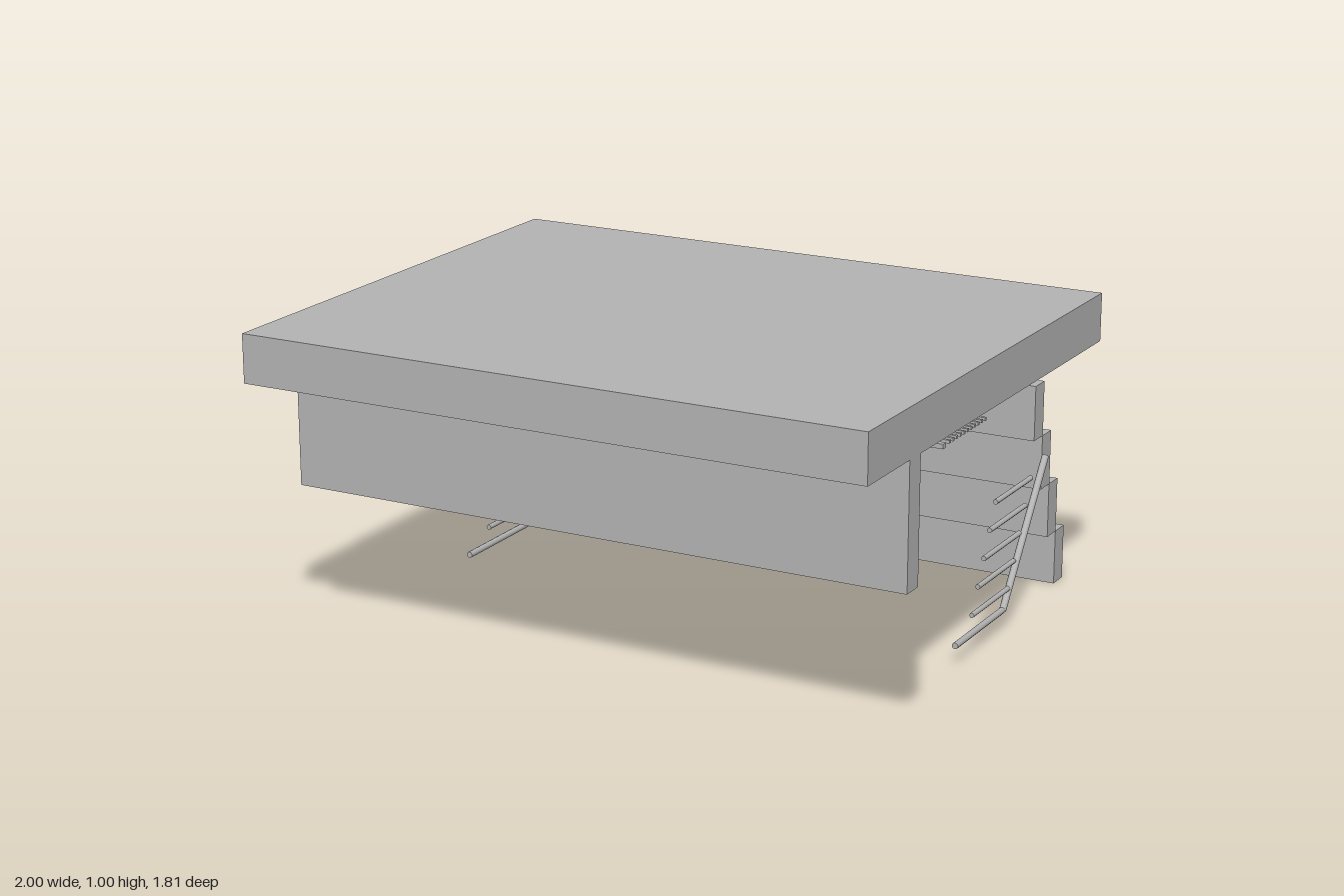
import * as THREE from 'three';

export function createModel() {
  const model = new THREE.Group();
  model.name = 'raisedPlatform';
  const grey = new THREE.MeshStandardMaterial({ color: 0xb2b2b2 });
  grey.name = 'plain grey';

  // Box given by its limits on each axis
  function box(name, x0, x1, y0, y1, z0, z1, parent = model) {
    const mesh = new THREE.Mesh(new THREE.BoxGeometry(x1 - x0, y1 - y0, z1 - z0), grey);
    mesh.position.set((x0 + x1) / 2, (y0 + y1) / 2, (z0 + z1) / 2);
    mesh.name = name;
    parent.add(mesh);
    return mesh;
  }

  // Round bar between two points
  function bar(name, a, b, radius, parent) {
    const mesh = new THREE.Mesh(new THREE.CylinderGeometry(radius, radius, a.distanceTo(b), 10), grey);
    mesh.position.copy(a).add(b).multiplyScalar(0.5);
    mesh.quaternion.setFromUnitVectors(new THREE.Vector3(0, 1, 0), b.clone().sub(a).normalize());
    mesh.name = name;
    parent.add(mesh);
  }

  // Main slab, front wall and the thickened underside
  box('topSlab', -1, 1, 0.85, 1, -0.71, 0.905);
  box('frontWall', -1, 1, 0.467, 0.85, 0.575, 0.645);
  box('undersideBlock', -0.62, 0.62, 0.775, 0.85, -0.71, 0.52);
  box('wallLedge', -0.48, 0.48, 0.71, 0.73, 0.523, 0.575);

  // Stepped boards down the back
  for (let i = 0; i < 4; i++) {
    const z = -0.905 + i * 0.066;
    box('backBoard', -0.825, 0.825, i * 0.175, (i + 1) * 0.175, z, z + 0.068);
  }

  // Rails below the block, with thin plates between them
  for (const x of [-0.54, 0, 0.54]) box('underRail', x - 0.02, x + 0.02, 0.73, 0.775, -0.675, 0.455);
  for (const s of [-1, 1]) {
    box('underPlate', s * 0.27 - 0.24, s * 0.27 + 0.24, 0.727, 0.732, 0.06, 0.33);
  }

  // Narrow strips under the front overhang
  for (let i = -3; i <= 3; i++) box('overhangStrip', i * 0.25 - 0.006, i * 0.25 + 0.006, 0.843, 0.85, 0.77, 0.885);

  // Side hatch plate and slatted tray on the left side
  box('hatchPlate', 0.72, 0.92, 0.822, 0.832, 0.275, 0.565);
  box('tray', 0.65, 0.83, 0.725, 0.755, -0.3, 0.06);
  box('trayHandle', 0.66, 0.82, 0.683, 0.698, 0.008, 0.028);
  for (let i = 0; i < 11; i++) {
    const z = -0.02 - i * 0.0255;
    box('traySlat', 0.66, 0.82, 0.688, 0.698, z - 0.005, z + 0.005);
  }

  // Ladder-like brackets on both sides
  for (const s of [-1, 1]) {
    const bracket = new THREE.Group();
    bracket.name = 'sideBracket';
    const x = s * 0.846;
    const p = (y, z) => new THREE.Vector3(x, y, z);
    bar('bracketPost', p(0.06, -0.383), p(0.47, -0.682), 0.011, bracket);
    bar('bracketFoot', p(0.062, -0.033), p(0.062, -0.383), 0.01, bracket);
    for (let i = 0; i < 5; i++) {
      const y = 0.12 + i * 0.0775, z = -0.15 - i * 0.0385;
      bar('bracketRung', p(y, z), p(y, z - 0.268), 0.008, bracket);
    }
    model.add(bracket);
  }

  return model;
}
